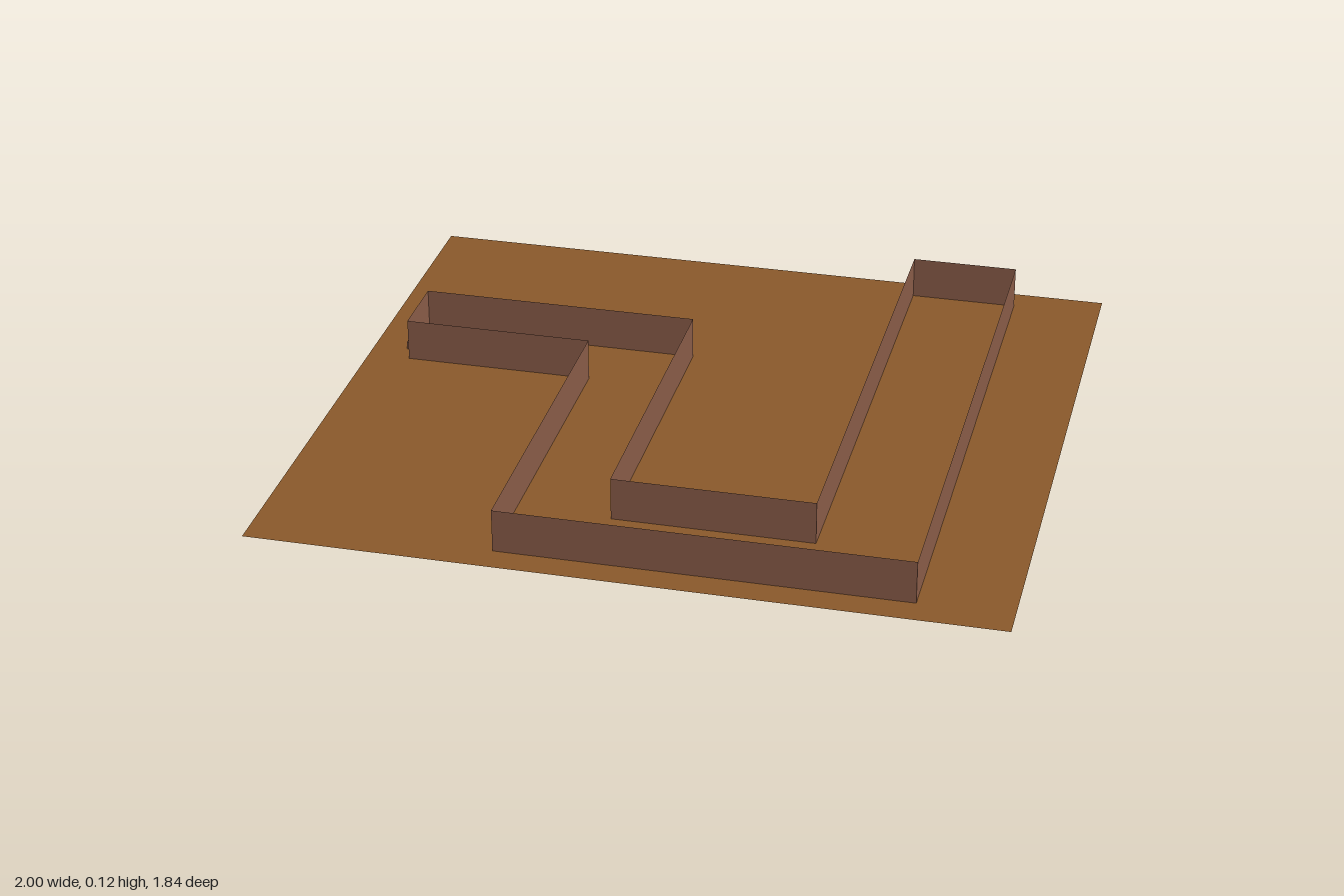
import * as THREE from 'three';

export function createModel() {
  const model = new THREE.Group();
  const groundMaterial = new THREE.MeshStandardMaterial({ color: 0x8b5a2b, side: THREE.DoubleSide });
  groundMaterial.name = 'earth brown';
  const wallMaterial = new THREE.MeshStandardMaterial({ color: 0x8b5d49, side: THREE.DoubleSide });
  wallMaterial.name = 'clay brown';

  // Flat ground sheet
  const ground = new THREE.Mesh(new THREE.PlaneGeometry(2, 1.835).rotateX(-Math.PI / 2), groundMaterial);
  ground.name = 'ground';
  model.add(ground);

  // Closed winding corridor of thin upright walls, corners as [x, z]
  const height = 0.12;
  const plan = [
    [-0.35, 0.84], [0.75, 0.84], [0.75, -0.84], [0.45, -0.84], [0.45, 0.615],
    [-0.095, 0.615], [-0.095, -0.315], [-0.88, -0.315], [-0.88, -0.12], [-0.35, -0.12],
  ];
  const walls = new THREE.Group();
  walls.name = 'corridorWalls';
  plan.forEach(([x1, z1], i) => {
    const [x2, z2] = plan[(i + 1) % plan.length];
    const dx = x2 - x1, dz = z2 - z1;
    const wall = new THREE.Mesh(new THREE.PlaneGeometry(Math.hypot(dx, dz), height), wallMaterial);
    wall.position.set((x1 + x2) / 2, height / 2, (z1 + z2) / 2);
    wall.rotation.y = Math.atan2(-dz, dx);
    wall.name = `wall${i + 1}`;
    walls.add(wall);
  });
  model.add(walls);

  // Small block outside the closed end wall
  const block = new THREE.Mesh(new THREE.BoxGeometry(0.018, 0.022, 0.018), wallMaterial);
  block.position.set(-0.894, 0.011, -0.183);
  block.name = 'smallBlock';
  model.add(block);

  return model;
}
